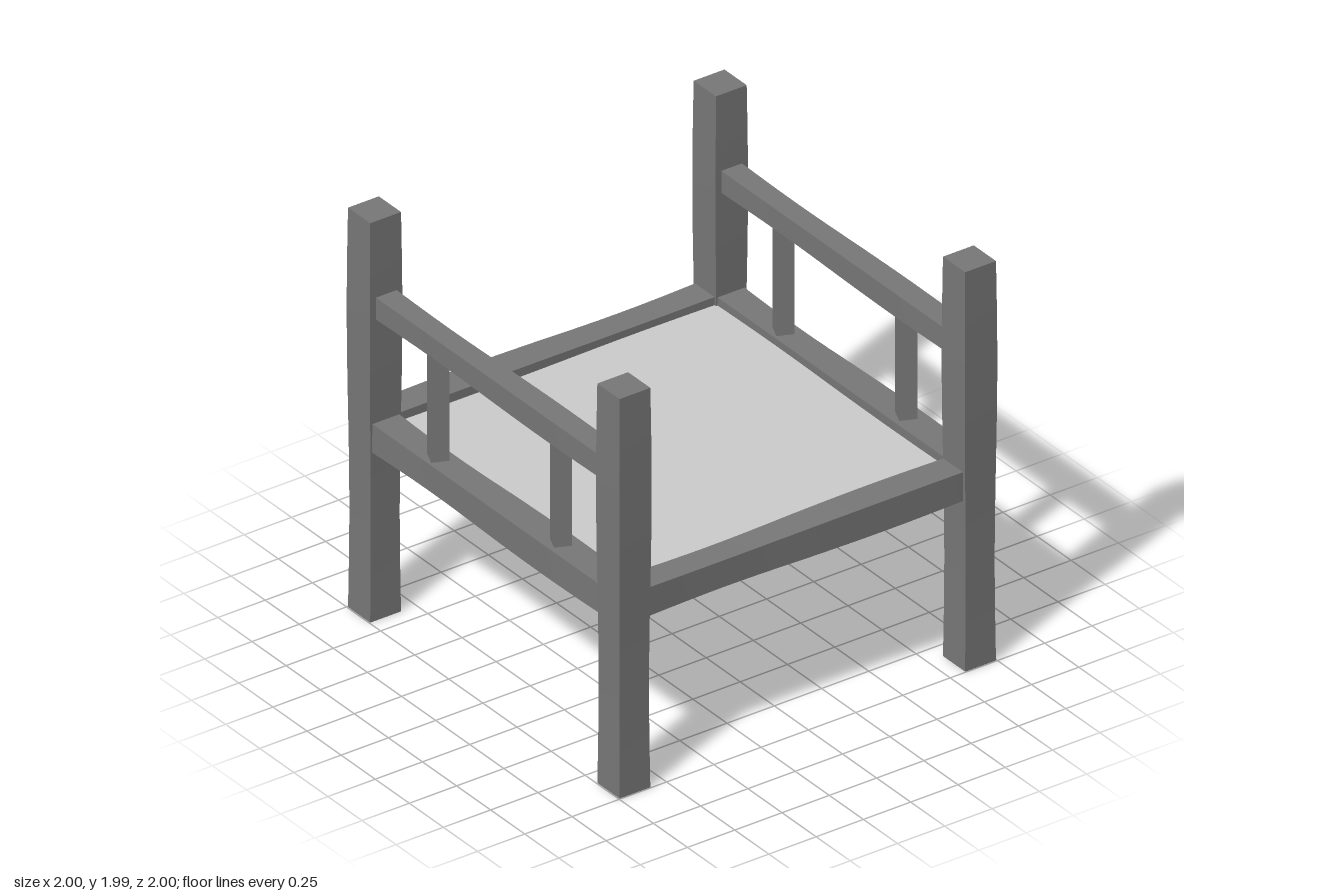
import * as THREE from 'three';

const frameMat = new THREE.MeshStandardMaterial({ color: 0x787878 });
const panelMat = new THREE.MeshStandardMaterial({ color: 0xcccccc });

// Square bar along y whose thickness swells and narrows like hand-cut timber
function hewnBar(width, length, thin, thick) {
  const g = new THREE.BoxGeometry(width, length, width, 1, 16, 1);
  const p = g.attributes.position;
  for (let i = 0; i < p.count; i++) {
    const wave = Math.sin((p.getY(i) / length) * Math.PI * 2);
    const s = 1 + (wave > 0 ? thick : thin) * wave;
    p.setX(i, p.getX(i) * s);
    p.setZ(i, p.getZ(i) * s);
  }
  g.computeVertexNormals();
  return g;
}

export function createModel() {
  const model = new THREE.Group();
  const add = (name, geometry, x, y, z, material = frameMat) => {
    const mesh = new THREE.Mesh(geometry, material);
    mesh.name = name;
    mesh.position.set(x, y, z);
    model.add(mesh);
    return mesh;
  };

  const post = hewnBar(0.163, 1.99, 0.05, 0.05);
  const rail = hewnBar(0.143, 1.7, 0.07, 0.05);
  const railX = rail.clone().rotateZ(-Math.PI / 2);
  const railZ = rail.clone().rotateX(Math.PI / 2);
  const arm = hewnBar(0.11, 1.7, 0.06, 0.05).rotateX(Math.PI / 2);
  const spindle = new THREE.BoxGeometry(0.08, 0.58, 0.08);

  // Corner posts
  for (const x of [-1, 1]) {
    for (const z of [-1, 1]) add('cornerPost', post, x * 0.914, 0.995, z * 0.914);
  }

  // Seat rails; the back one is turned end for end
  add('frontRail', railX, 0, 0.914, 0.907);
  add('backRail', railX, 0, 0.914, -0.914).rotation.y = Math.PI;

  // Side rails, arm rails and the turned spindles between them
  for (const x of [-0.913, 0.913]) {
    add('sideRail', railZ, x, 0.914, 0);
    add('armRail', arm, x, 1.557, 0);
    for (const z of [-0.448, 0.452]) {
      add('armSpindle', spindle, x, 1.24, z).rotation.y = -0.4;
    }
  }

  // Seat panel, set in below the top of the rails
  add('seatPanel', new THREE.BoxGeometry(1.72, 0.07, 1.72), 0, 0.91, 0, panelMat);

  return model;
}
